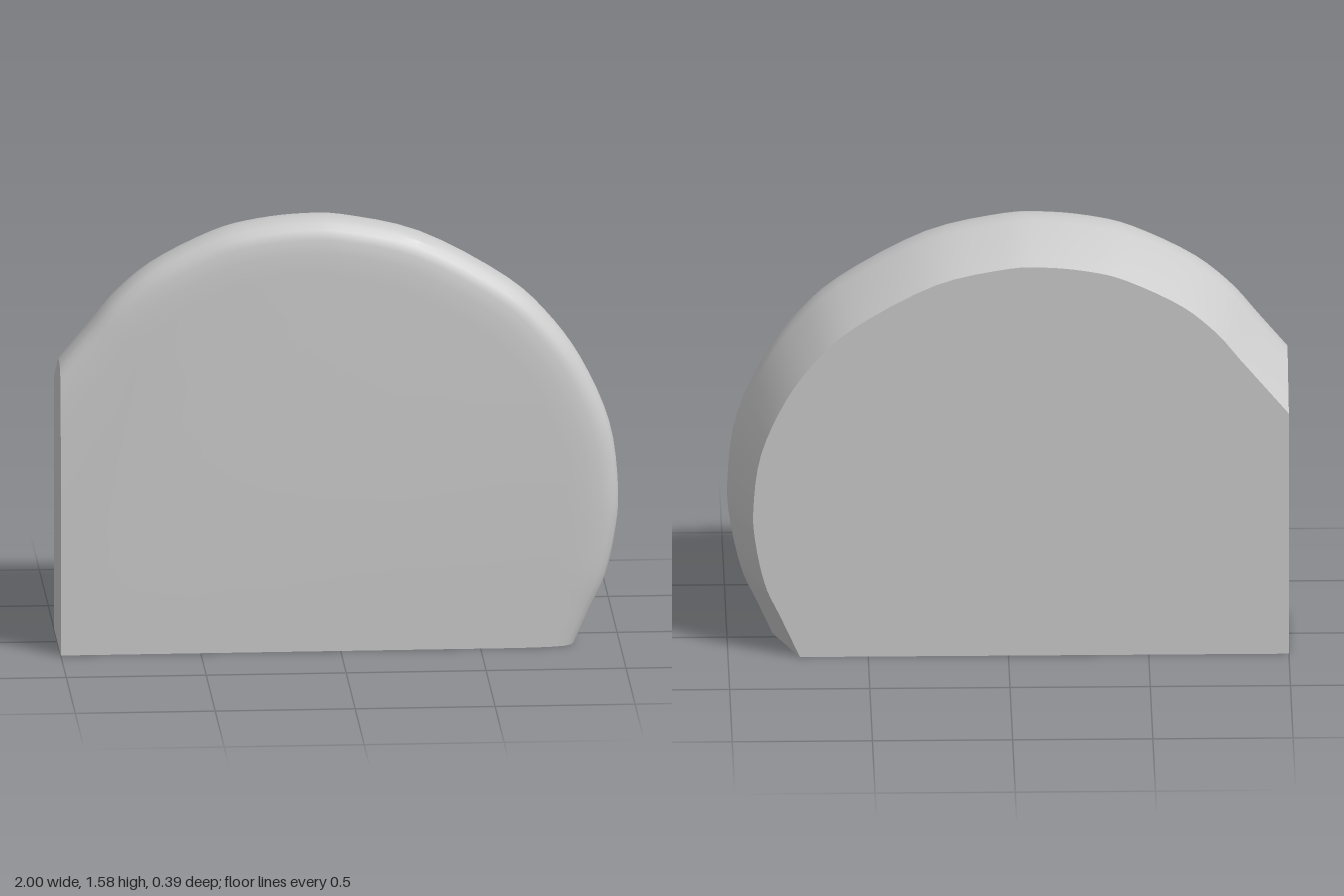
import * as THREE from 'three';
import { toCreasedNormals } from 'three/addons/utils/BufferGeometryUtils.js';

// Widest outline, from the right end of the base over the dome to the left wall
const OUTLINE = [
  [0.84, 0], [0.894, 0.12], [0.948, 0.24], [0.985, 0.4], [0.998, 0.56], [0.97, 0.79], [0.88, 1.01],
  [0.76, 1.185], [0.6, 1.335], [0.3, 1.503], [0.03, 1.57], [-0.13, 1.578], [-0.3, 1.56], [-0.45, 1.52],
  [-0.66, 1.415], [-0.8, 1.3], [-0.9, 1.18], [-1, 1.06],
].map(([x, y]) => new THREE.Vector2(x, y));

// [z, inset] from the back face, out along the bevel and round the front lip
const SECTIONS = [
  [-0.195, 0.088], [0.035, 0.003], [0.08, 0], [0.125, 0.002], [0.155, 0.012],
  [0.172, 0.032], [0.183, 0.065], [0.19, 0.115], [0.195, 0.19],
];
const STEPS = 64;

// Outline moved inwards, its ends slid back on to the base and the left wall
function insetOutline(curve, d) {
  const pts = [];
  for (let i = 0; i <= STEPS; i++) {
    const t = curve.getTangent(i / STEPS);
    const p = curve.getPoint(i / STEPS).add(new THREE.Vector2(-t.y, t.x).multiplyScalar(d));
    if (i === 0) p.addScaledVector(t, -p.y / t.y);
    if (i === STEPS) p.addScaledVector(t, (-1 - p.x) / t.x);
    p.x = Math.max(p.x, -1);
    p.y = Math.max(p.y, 0);
    pts.push(p);
  }
  pts.push(new THREE.Vector2(-1, 0)); // square corner
  return pts;
}

function bodyGeometry() {
  const curve = new THREE.SplineCurve(OUTLINE);
  const pos = [], idx = [];
  for (const [z, d] of SECTIONS) {
    for (const p of insetOutline(curve, d)) pos.push(p.x, p.y, z);
  }
  const n = STEPS + 2, last = (SECTIONS.length - 1) * n;
  // Walls and rounded rim
  for (let k = 0; k < SECTIONS.length - 1; k++) {
    for (let i = 0; i < n; i++) {
      const a = k * n + i, b = k * n + (i + 1) % n;
      idx.push(a, b, b + n, a, b + n, a + n);
    }
  }
  // Flat back and front, fanned from the square corner
  for (let i = 0; i < n - 2; i++) {
    idx.push(n - 1, i + 1, i);
    idx.push(last + n - 1, last + i, last + i + 1);
  }
  const geo = new THREE.BufferGeometry();
  geo.setAttribute('position', new THREE.Float32BufferAttribute(pos, 3));
  geo.setIndex(idx);
  return toCreasedNormals(geo, 0.55);
}

export function createModel() {
  const group = new THREE.Group();
  const body = new THREE.Mesh(bodyGeometry(), new THREE.MeshStandardMaterial({ color: 0xcccccc }));
  body.name = 'domedSlab';
  group.add(body);
  return group;
}
